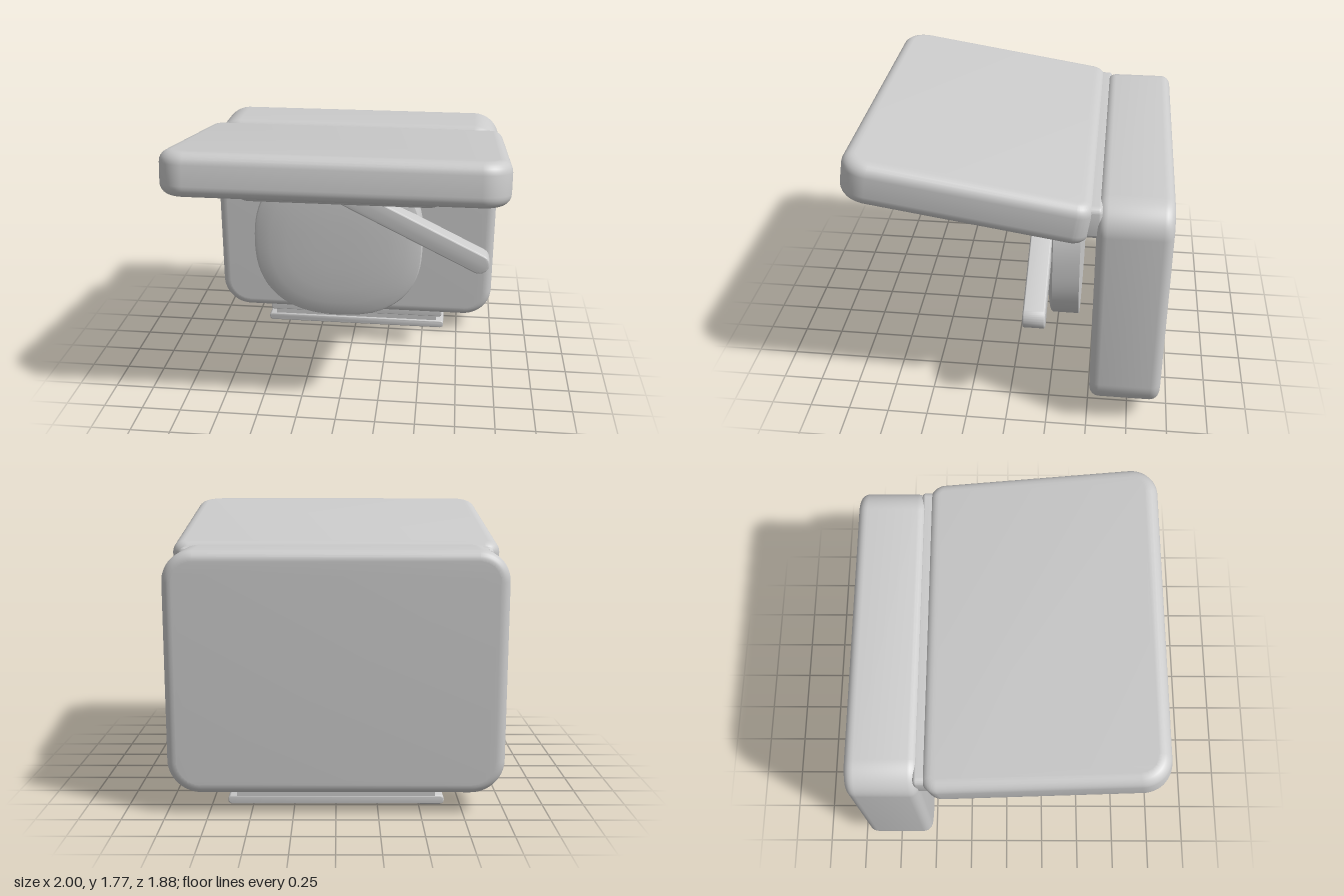
import * as THREE from 'three';
import { toCreasedNormals } from 'three/addons/utils/BufferGeometryUtils.js';

const material = new THREE.MeshStandardMaterial({ color: 0xcccccc });

function addMesh(group, name, geometry, crease = 0.6) {
  const mesh = new THREE.Mesh(toCreasedNormals(geometry, crease), material);
  mesh.name = name;
  group.add(mesh);
  return mesh;
}

// Rounded slab centred on the origin: r1 rounds the +y corners, r0 the -y corners
function slab(width, height, depth, r1, r0, bevel) {
  const w = width / 2 - bevel, h = height / 2 - bevel;
  const a = Math.max(r1 - bevel, 0.005), b = Math.max(r0 - bevel, 0.005);
  const s = new THREE.Shape();
  s.absarc(w - a, h - a, a, 0, Math.PI / 2);
  s.absarc(-w + a, h - a, a, Math.PI / 2, Math.PI);
  s.absarc(-w + b, -h + b, b, Math.PI, Math.PI * 1.5);
  s.absarc(w - b, -h + b, b, Math.PI * 1.5, Math.PI * 2);
  s.closePath();
  const core = depth - 2 * bevel;
  return new THREE.ExtrudeGeometry(s, {
    depth: core, bevelSize: bevel, bevelThickness: bevel, bevelSegments: 6, curveSegments: 10,
  }).translate(0, 0, -core / 2);
}

// Domed disc with a squarish round outline and a flat back
function discGeometry() {
  const profile = [[0, -0.41], [1, -0.41], [1, -0.24], [0.985, -0.228], [0.95, -0.22],
    [0.8, -0.203], [0.6, -0.192], [0.3, -0.187], [0, -0.186]].map(p => new THREE.Vector2(...p));
  const geo = new THREE.LatheGeometry(profile, 72).rotateX(Math.PI / 2);
  const pos = geo.attributes.position;
  const n = 2.4;
  for (let i = 0; i < pos.count; i++) {
    const x = pos.getX(i), y = pos.getY(i), r = Math.hypot(x, y);
    if (r < 1e-6) continue;
    const k = r / Math.pow(Math.abs(x) ** n + Math.abs(y) ** n, 1 / n);
    pos.setXY(i, x * k * 0.585, y * k * (y > 0 ? 0.58 : 0.55));
  }
  return geo.translate(-0.095, 0.78, 0);
}

export function createModel() {
  const model = new THREE.Group();
  model.name = 'wallUnit';

  // Upright rear housing
  addMesh(model, 'housing', slab(1.98, 1.43, 0.43, 0.18, 0.2, 0.06))
    .position.set(0, 0.845, -0.725);

  // Raised lid, tilted up towards the front
  const lid = addMesh(model, 'lid', slab(2, 1.43, 0.26, 0.1, 0.17, 0.07));
  lid.position.set(0, 1.54, 0.225);
  lid.rotation.x = -Math.PI / 2 - 0.157;

  // Hinge strip between the lid and the housing
  addMesh(model, 'hinge', slab(1.9, 0.2, 0.16, 0.04, 0.04, 0.02))
    .position.set(0, 1.44, -0.46);

  // Pad under the lid
  const pad = addMesh(model, 'lidPad', slab(1.23, 0.8, 0.22, 0.09, 0.09, 0.05));
  pad.position.set(0, 1.418, 0.19);
  pad.rotation.x = -Math.PI / 2 - 0.19;

  // Hanging disc
  addMesh(model, 'disc', discGeometry(), 0.5);

  // Sloping arm in front of the disc
  const start = new THREE.Vector2(-0.16, 1.25), end = new THREE.Vector2(0.94, 0.70);
  const arm = addMesh(model, 'arm', slab(start.distanceTo(end), 0.14, 0.135, 0.07, 0.07, 0.012));
  arm.position.set((start.x + end.x) / 2, (start.y + end.y) / 2, -0.165);
  arm.rotation.z = Math.atan2(end.y - start.y, end.x - start.x);

  // Foot: two plates joined by thin walls that leave an open channel
  const foot = new THREE.Group();
  foot.name = 'foot';
  model.add(foot);
  addMesh(foot, 'footBase', slab(1.31, 0.055, 0.19, 0.025, 0.025, 0.008))
    .position.set(0, 0.0275, -0.645);
  addMesh(foot, 'footTop', slab(1.28, 0.06, 0.18, 0.02, 0.02, 0.008))
    .position.set(0, 0.115, -0.65);
  for (const z of [-0.567, -0.733]) {
    addMesh(foot, 'footWall', new THREE.BoxGeometry(1.2, 0.06, 0.012)).position.set(0, 0.07, z);
  }

  return model;
}
